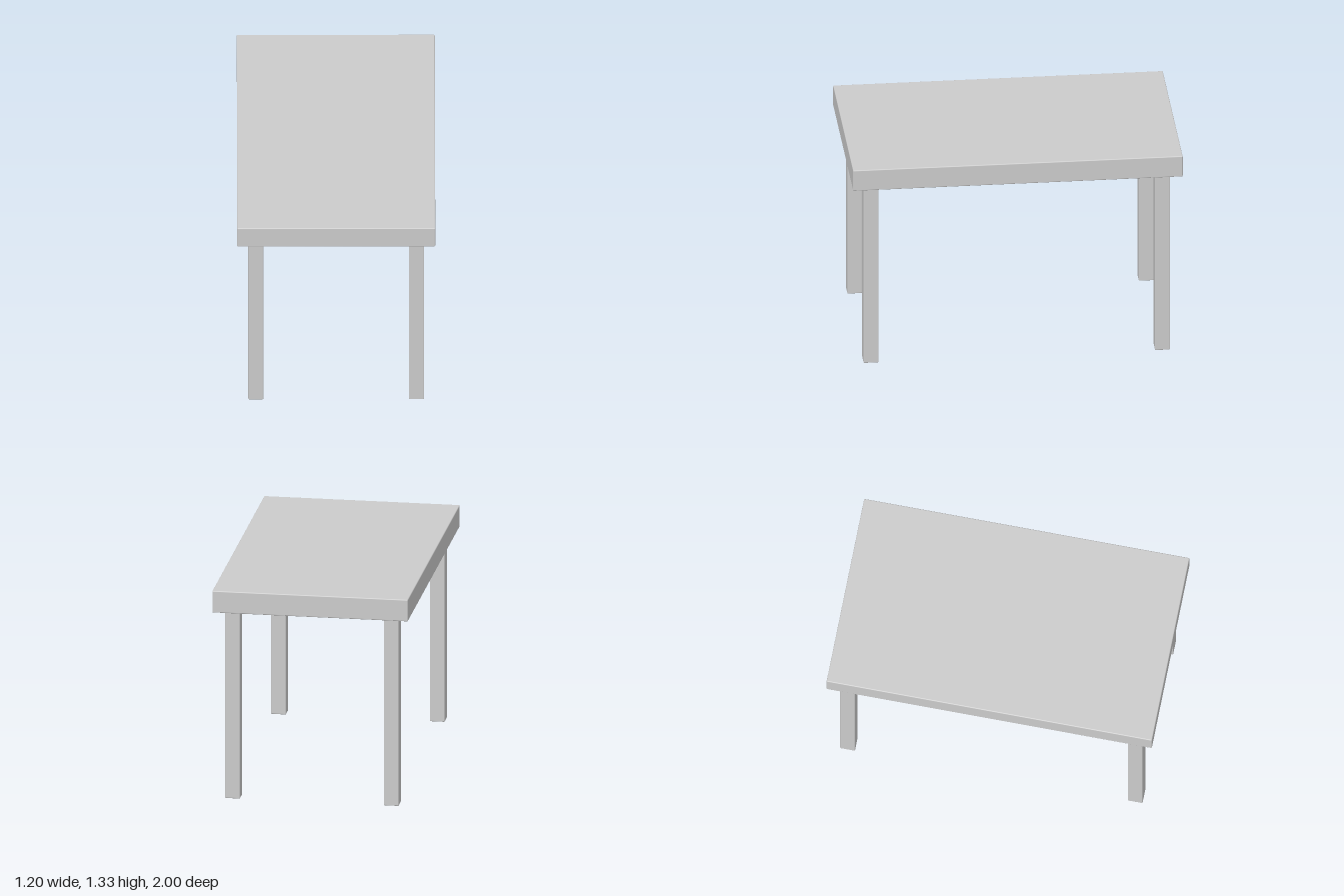
import * as THREE from 'three';
import { RoundedBoxGeometry } from 'three/addons/geometries/RoundedBoxGeometry.js';

export function createModel() {
  const table = new THREE.Group();
  table.name = 'table';
  const material = new THREE.MeshStandardMaterial({ color: 0xcccccc });

  const height = 1.325, slab = 0.137, underside = height - slab;
  const legWidth = 0.092, bevel = 0.006, flareHeight = 0.008;

  const add = (parent, name, geometry, y) => {
    const mesh = new THREE.Mesh(geometry, material);
    mesh.name = name;
    mesh.position.y = y;
    parent.add(mesh);
  };

  // Thick top with softened edges
  add(table, 'tableTop', new RoundedBoxGeometry(1.196, slab, 2, 2, bevel), height - slab / 2);

  // Square post, run slightly into the top so its upper bevel is hidden
  const postHeight = underside + 0.02;
  const postGeometry = new RoundedBoxGeometry(legWidth, postHeight, legWidth, 2, bevel);

  // Small flare where each post meets the top
  const flareGeometry = new THREE.CylinderGeometry(
    0.054 * Math.SQRT2, (legWidth / 2 - 0.001) * Math.SQRT2, flareHeight, 4, 1, true
  ).rotateY(Math.PI / 4).toNonIndexed();
  flareGeometry.computeVertexNormals();

  // Four legs, mirrored across both axes
  for (const [sx, side] of [[1, 'Left'], [-1, 'Right']]) {
    for (const [sz, end] of [[1, 'front'], [-1, 'back']]) {
      const leg = new THREE.Group();
      leg.name = `${end}${side}Leg`;
      leg.position.set(sx * 0.485, 0, sz * 0.884);
      add(leg, 'post', postGeometry, postHeight / 2);
      add(leg, 'flare', flareGeometry, underside - flareHeight / 2);
      table.add(leg);
    }
  }
  return table;
}
